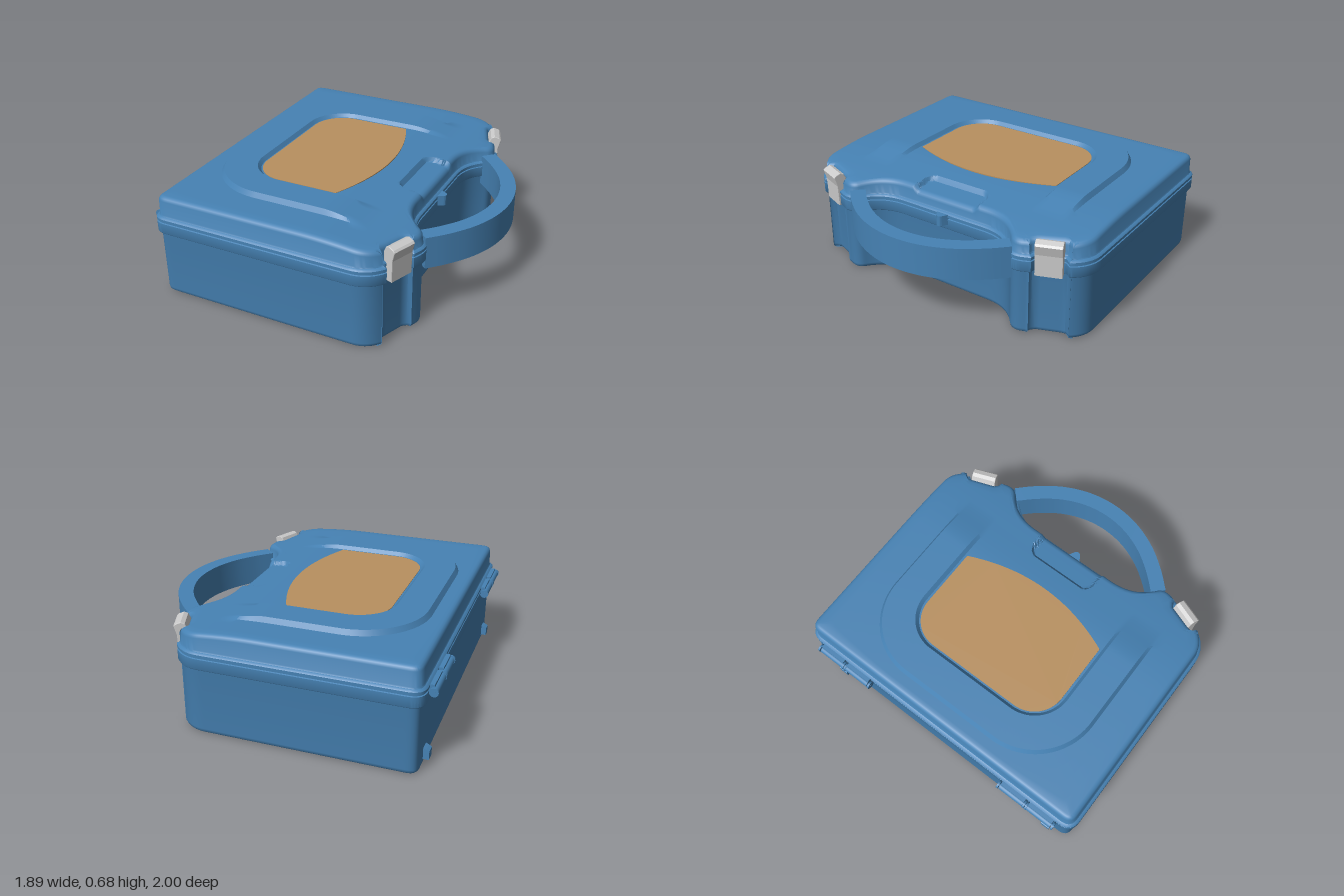
import * as THREE from 'three';
import { toCreasedNormals } from 'three/addons/utils/BufferGeometryUtils.js';

const blue = new THREE.MeshStandardMaterial({ color: 0x4682b4 });
const tan = new THREE.MeshStandardMaterial({ color: 0xb8905f });
const grey = new THREE.MeshStandardMaterial({ color: 0xcccccc });
const { smoothstep, lerp } = THREE.MathUtils;
const CX = -0.1; // centre of the radial loops

function add(parent, name, geometry, material, x = 0, y = 0, z = 0) {
  const mesh = new THREE.Mesh(geometry, material);
  mesh.name = name;
  mesh.position.set(x, y, z);
  parent.add(mesh);
  return mesh;
}

// Extrude a plan (x, z) shape upwards from y0 to y1
function slab(shape, y0, y1) {
  const g = new THREE.ExtrudeGeometry(shape, { depth: y1 - y0, bevelEnabled: false, curveSegments: 24 });
  g.rotateX(-Math.PI / 2).translate(0, y0, 0);
  return toCreasedNormals(g, 0.5);
}

// Plan outline of the rim: half path, mirrored
function caseOutline() {
  const p = new THREE.Path();
  p.moveTo(0.5, 0);
  p.lineTo(0.5, 0.29);
  p.bezierCurveTo(0.5, 0.43, 0.56, 0.49, 0.63, 0.545);
  p.quadraticCurveTo(0.67, 0.59, 0.65, 0.65);
  p.lineTo(0.63, 0.7);
  p.lineTo(0.59, 0.705);
  p.lineTo(0.53, 0.862);
  p.lineTo(0.558, 0.9);
  p.quadraticCurveTo(0.49, 1, 0.38, 1);
  p.lineTo(-0.81, 1);
  p.quadraticCurveTo(-0.9, 1, -0.9, 0.91);
  p.lineTo(-0.9, 0);
  const half = p.getSpacedPoints(220);
  return [...half, ...half.slice(1, -1).reverse().map((v) => new THREE.Vector2(v.x, -v.y))];
}

// Distance to a rectangle with rounded back corners and sharp front corners
function panelDistance(x, z, x0, x1, hz, r) {
  const mid = (x0 + x1) / 2, rad = x < mid ? r : 0.01;
  const qx = Math.abs(x - mid) - (x1 - x0) / 2 + rad, qz = Math.abs(z) - hz + rad;
  return Math.hypot(Math.max(qx, 0), Math.max(qz, 0)) + Math.min(Math.max(qx, qz), 0) - rad;
}

// Lid heights: the raised panel and its sunken field fade out towards the front
const fade = (x) => 1 - smoothstep(x, 0.08, 0.38);
const dent = (x, z) => 0.028 * (1 - smoothstep(panelDistance(x, z, 0.31, 1, 0.23, 0.06), -0.016, 0));
const baseY = (x, z) => 0.645 - 0.15 * Math.max(0, x - 0.05) ** 2 - dent(x, z);
const panelY = (x, z) => baseY(x, z) + 0.03 * fade(x);
const fieldY = (x, z) => baseY(x, z) + 0.008 * fade(x);

function caseGeometry() {
  const out = caseOutline(), n = out.length;
  const normals = out.map((_, i) => {
    const a = out[(i + n - 1) % n], b = out[(i + 1) % n];
    return new THREE.Vector2(b.y - a.y, a.x - b.x).normalize();
  });
  const inset = (d) => out.map((v, i) => v.clone().addScaledVector(normals[i], -d));
  const panelLoop = (...dims) => out.map((v) => {
    const dx = v.x - CX, dz = v.y;
    let lo = 0, hi = 1.2;
    for (let k = 0; k < 30; k++) {
      const m = (lo + hi) / 2;
      if (panelDistance(CX + dx * m, dz * m, ...dims) < 0) lo = m; else hi = m;
    }
    return new THREE.Vector2(CX + dx * lo, dz * lo);
  });
  const rings = [];
  const ring = (pts, y) => rings.push(pts.map((p) => [p.x, typeof y === 'number' ? y : y(p.x, p.y), p.y]));
  const span = (a, b, steps, y) => {
    for (let k = 1; k <= steps; k++) ring(a.map((p, i) => p.clone().lerp(b[i], k / steps)), y);
  };
  const centre = out.map(() => new THREE.Vector2(CX, 0));
  const f0 = panelLoop(-0.54, 0.37, 0.52, 0.22), f1 = panelLoop(-0.56, 0.385, 0.54, 0.24);
  const p0 = panelLoop(-0.75, 0.405, 0.727, 0.4), p1 = panelLoop(-0.77, 0.42, 0.745, 0.42);
  // Lid top, from the middle outwards
  ring(centre, fieldY);
  span(centre, f0, 45, fieldY);
  ring(f1, panelY);
  span(f1, p0, 6, panelY);
  ring(p1, baseY);
  span(p1, inset(0.055), 4, baseY);
  // Rounded lid edge
  for (const [d, drop] of [[0.042, 0.003], [0.031, 0.011], [0.024, 0.026]]) ring(inset(d), (x, z) => baseY(x, z) - drop);
  // Lid wall, rim with its parting groove, body wall and rounded foot
  for (const [d, y] of [[0.022, 0.53], [0.017, 0.522], [0.004, 0.517], [0, 0.512], [0, 0.496], [0.007, 0.493], [0.007, 0.488],
    [0, 0.485], [0, 0.424], [0.004, 0.418], [0.02, 0.416], [0.022, 0.41], [0.022, 0.03], [0.026, 0.012], [0.034, 0.004], [0.048, 0]]) {
    ring(inset(d), y);
  }
  ring(centre, 0);
  const index = [];
  for (let k = 0; k < rings.length - 1; k++) {
    for (let i = 0; i < n; i++) {
      const j = (i + 1) % n, a = k * n + i, b = k * n + j, c = a + n, d = b + n;
      if (k > 0) index.push(a, b, c);
      if (k < rings.length - 2) index.push(b, d, c);
      if (k === 0) index.push(a, d, c);
      if (k === 0) index.splice(-6, 3);
    }
  }
  const g = new THREE.BufferGeometry();
  g.setAttribute('position', new THREE.Float32BufferAttribute(rings.flat(2), 3));
  g.setIndex(index);
  return toCreasedNormals(g, 0.6);
}

// Bowed carrying handle: a channel open below with cross ribs
function buildHandle() {
  const group = new THREE.Group();
  group.name = 'handle';
  const side = [[0.615, 0.56], [0.715, 0.455], [0.81, 0.32], [0.873, 0.165]];
  const curve = new THREE.SplineCurve([...side, [0.895, 0], ...side.map(([x, z]) => [x, -z]).reverse()]
    .map(([x, z]) => new THREE.Vector2(x, z)));
  const band = (w, t0, t1) => {
    const a = [], b = [];
    for (let i = 0; i <= 48; i++) {
      const t = lerp(t0, t1, i / 48), p = curve.getPointAt(t), d = curve.getTangentAt(t);
      a.push(new THREE.Vector2(p.x - d.y * w, p.y + d.x * w));
      b.unshift(new THREE.Vector2(p.x + d.y * w, p.y - d.x * w));
    }
    return [...a, ...b];
  };
  const walls = new THREE.Shape(band(0.047, 0, 1));
  walls.holes.push(new THREE.Path(band(0.034, 0.015, 0.985)));
  add(group, 'handleTop', slab(new THREE.Shape(band(0.047, 0, 1)), 0.535, 0.557), blue);
  add(group, 'handleWalls', slab(walls, 0.36, 0.535), blue);
  for (let i = 1; i < 8; i++) {
    const p = curve.getPointAt(i / 8), d = curve.getTangentAt(i / 8);
    const rib = add(group, 'handleRib', new THREE.BoxGeometry(0.07, 0.14, 0.012), blue, p.x, 0.467, -p.y);
    rib.rotation.y = Math.atan2(-d.x, -d.y);
  }
  return group;
}

export function createModel() {
  const model = new THREE.Group();
  model.name = 'carryingCase';
  add(model, 'caseShell', caseGeometry(), blue);
  model.add(buildHandle());

  // Label set into the lid, with a bowed front edge
  const label = new THREE.Shape();
  label.moveTo(0.05, -0.505);
  label.quadraticCurveTo(0.28, 0, 0.05, 0.505);
  label.lineTo(-0.33, 0.505);
  label.absarc(-0.33, 0.305, 0.2, Math.PI / 2, Math.PI);
  label.lineTo(-0.53, -0.305);
  label.absarc(-0.33, -0.305, 0.2, Math.PI, Math.PI * 1.5);
  add(model, 'lidLabel', slab(label, 0.645, 0.656), tan);

  // Padlock eye at the middle of the front rim
  const eye = new THREE.Shape();
  eye.moveTo(0.49, -0.045);
  eye.lineTo(0.525, -0.025);
  eye.absarc(0.52, 0, 0.024, -Math.PI / 3, Math.PI / 3);
  eye.lineTo(0.49, 0.045);
  eye.holes.push(new THREE.Path().absarc(0.522, 0, 0.012, 0, Math.PI * 2, true));
  add(model, 'lockEye', slab(eye, 0.45, 0.515), blue);

  // Latch section: flat plate with a hooked head
  const hook = new THREE.Shape([[-0.03, 0.41], [0.018, 0.41], [0.022, 0.54], [0.038, 0.598], [0.03, 0.607], [0, 0.618], [-0.02, 0.61], [-0.034, 0.58]]
    .map(([x, y]) => new THREE.Vector2(x, y)));
  const latchGeometry = new THREE.ExtrudeGeometry(hook, { depth: 0.148, bevelSize: 0.004, bevelThickness: 0.004, bevelSegments: 2 });
  latchGeometry.translate(0, 0, -0.074);

  for (const s of [1, -1]) {
    add(model, 'latch', latchGeometry, grey, 0.576, 0, s * 0.785).rotation.y = -s * 0.36;

    // Hinge: two barrels with leaves, pin ends and a middle joint
    const hinge = new THREE.Group();
    hinge.name = 'hinge';
    hinge.position.set(-0.925, 0.475, s * 0.695);
    for (const z of [-0.1, 0.1]) {
      add(hinge, 'hingeBarrel', new THREE.CylinderGeometry(0.023, 0.023, 0.17, 20).rotateX(Math.PI / 2), blue, 0, 0, z);
      add(hinge, 'hingeLeaf', new THREE.BoxGeometry(0.04, 0.05, 0.17), blue, 0.02, 0.012, z);
    }
    for (const z of [-0.197, -0.008, 0.008, 0.197]) {
      add(hinge, 'hingeKnuckle', new THREE.CylinderGeometry(0.026, 0.026, 0.012, 20).rotateX(Math.PI / 2), blue, 0, 0, z);
    }
    add(hinge, 'hingePin', new THREE.CylinderGeometry(0.01, 0.01, 0.41, 12).rotateX(Math.PI / 2), blue);
    model.add(hinge);

    // Standing foot low on the back wall
    const foot = new THREE.Shape([[-0.87, 0.04], [-0.87, 0.112], [-0.895, 0.1], [-0.912, 0.09], [-0.912, 0.04]]
      .map(([x, y]) => new THREE.Vector2(x, y)));
    add(model, 'backFoot', new THREE.ExtrudeGeometry(foot, { depth: 0.06, bevelEnabled: false }), blue, 0, 0, s * 0.83 - 0.03);
  }
  return model;
}
